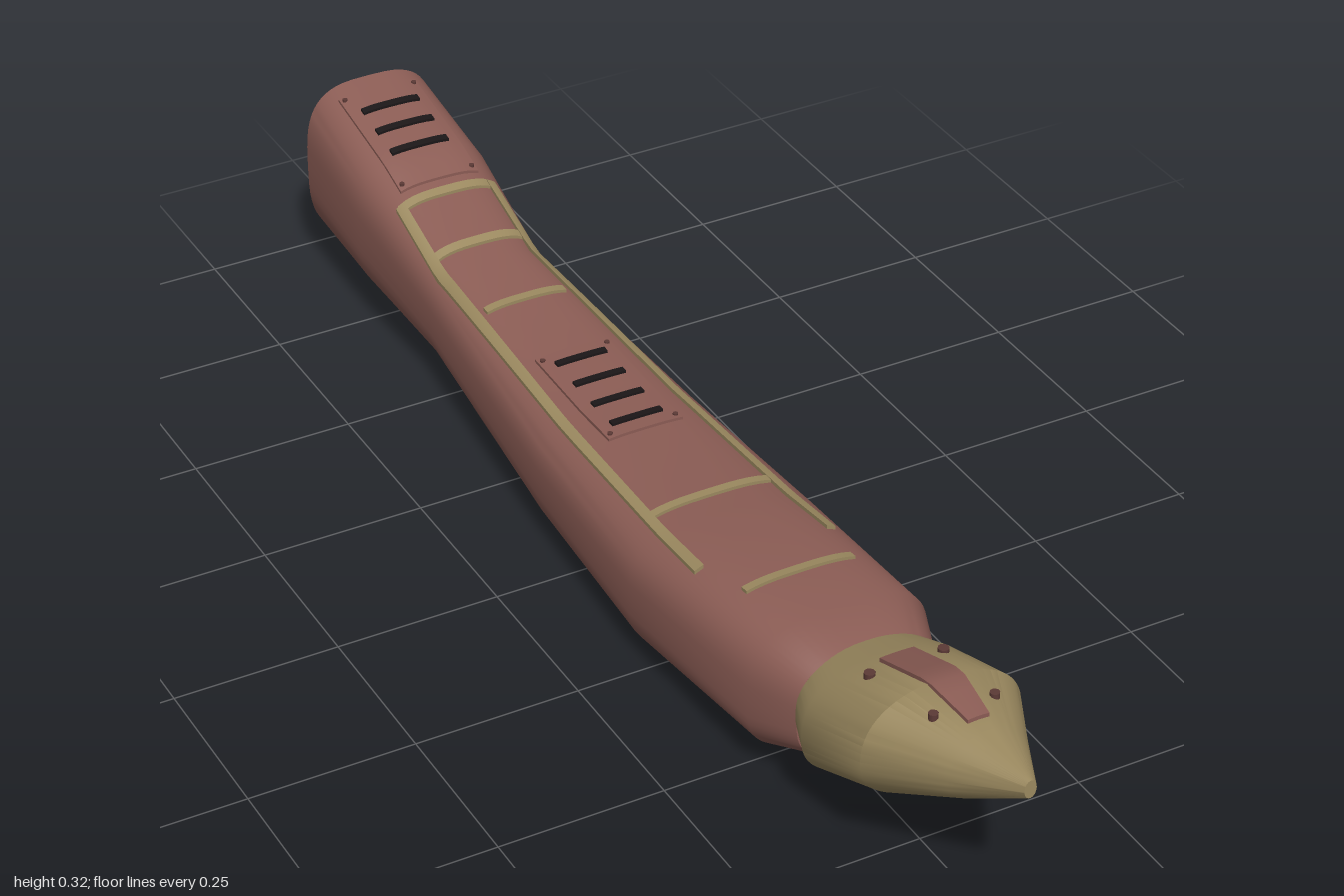
import * as THREE from 'three';
import { toCreasedNormals } from 'three/addons/utils/BufferGeometryUtils.js';

// Cross-sections: [z, half width, bottom y, top y, y of widest point, squareness]
const HULL = [
  [-1.0, 0.03, 0.135, 0.245, 0.19, 3],
  [-0.93, 0.11, 0.06, 0.324, 0.19, 3.2],
  [-0.74, 0.113, 0.055, 0.285, 0.17, 3.2],
  [-0.52, 0.1, 0.045, 0.216, 0.13, 3.1],
  [-0.1, 0.135, 0.012, 0.2, 0.105, 3.1],
  [0.22, 0.153, 0.005, 0.208, 0.105, 3.1],
  [0.53, 0.14, 0.035, 0.245, 0.13, 3.1],
  [0.605, 0.108, 0.062, 0.228, 0.14, 3],
];
const HEAD = [
  [0.575, 0.098, 0.085, 0.222, 0.15, 2.5],
  [0.65, 0.127, 0.066, 0.248, 0.15, 2.4],
  [0.79, 0.122, 0.125, 0.298, 0.205, 2.3],
  [0.9, 0.062, 0.183, 0.285, 0.235, 2.1],
  [1.0, 0.009, 0.249, 0.277, 0.263, 2],
];

// Skin the cross-sections, with closed ends
function loft(sections, sides = 56) {
  const pos = [], index = [];
  for (const [z, w, lo, hi, mid, n] of sections) {
    for (let j = 0; j < sides; j++) {
      const a = (j / sides) * Math.PI * 2, c = Math.cos(a), s = Math.sin(a);
      const x = Math.sign(c) * w * Math.abs(c) ** (2 / n);
      const h = Math.abs(s) ** (2 / n);
      pos.push(x, s > 0 ? mid + (hi - mid) * h : mid - (mid - lo) * h, z);
    }
  }
  for (let i = 0; i < sections.length - 1; i++) {
    for (let j = 0; j < sides; j++) {
      const k = (j + 1) % sides;
      const a = i * sides + j, b = i * sides + k, c = a + sides, d = b + sides;
      index.push(a, b, d, a, d, c);
    }
  }
  const last = sections.length - 1;
  const back = pos.length / 3, front = back + 1;
  pos.push(0, sections[0][4], sections[0][0], 0, sections[last][4], sections[last][0]);
  for (let j = 0; j < sides; j++) {
    const k = (j + 1) % sides;
    index.push(back, k, j, front, last * sides + j, last * sides + k);
  }
  const g = new THREE.BufferGeometry();
  g.setAttribute('position', new THREE.Float32BufferAttribute(pos, 3));
  g.setIndex(index);
  return toCreasedNormals(g, 0.5);
}

// Interpolate rows keyed by their first number
function sample(rows, z) {
  let i = 0;
  while (i < rows.length - 2 && z > rows[i + 1][0]) i++;
  const t = THREE.MathUtils.clamp((z - rows[i][0]) / (rows[i + 1][0] - rows[i][0]), 0, 1);
  return rows[i].map((v, k) => THREE.MathUtils.lerp(v, rows[i + 1][k], t));
}

// Height of the top (side 1) or underside (side -1) of a skin
function surfaceY(sections, x, z, side) {
  const [, w, lo, hi, mid, n] = sample(sections, z);
  const h = Math.max(0, 1 - Math.abs(x / w) ** n) ** (1 / n);
  return side > 0 ? mid + (hi - mid) * h : mid - (mid - lo) * h;
}

// Thin plate hugging a skin; outline rows are [z, left x, right x]
function plate(sections, outline, thick, side = 1) {
  const z0 = outline[0][0], z1 = outline[outline.length - 1][0];
  const g = new THREE.BoxGeometry(1, thick, 1, 12, 1, Math.max(1, Math.ceil((z1 - z0) * 40)));
  const p = g.attributes.position;
  for (let i = 0; i < p.count; i++) {
    const z = THREE.MathUtils.lerp(z0, z1, p.getZ(i) + 0.5);
    const [, l, r] = sample(outline, z);
    const x = THREE.MathUtils.lerp(l, r, p.getX(i) + 0.5);
    p.setXYZ(i, x, surfaceY(sections, x, z, side) + p.getY(i), z);
  }
  g.computeVertexNormals();
  return g;
}

export function createModel() {
  const model = new THREE.Group();
  model.name = 'spacecraft';
  const material = (name, color) => {
    const m = new THREE.MeshStandardMaterial({ color });
    m.name = name;
    return m;
  };
  const hullRed = material('hull red', 0x8c5d55);
  const gold = material('dull gold', 0x9c8a60);
  const black = material('vent black', 0x1b1617);
  const boltBrown = material('bolt brown', 0x5c3a36);

  const add = (name, geometry, mat) => {
    const mesh = new THREE.Mesh(geometry, mat);
    mesh.name = name;
    model.add(mesh);
    return mesh;
  };
  const bar = (name, mat, z, half, depth, thick, side = 1, skin = HULL) =>
    add(name, plate(skin, [[z - depth / 2, -half, half], [z + depth / 2, -half, half]], thick, side), mat);
  const bolt = (skin, x, z, r) => {
    const m = add('bolt', new THREE.CylinderGeometry(r, r, 0.014, 10), boltBrown);
    m.position.set(x, surfaceY(skin, x, z, 1), z);
  };

  // Main bodies
  add('hull', loft(HULL), hullRed);
  add('head', loft(HEAD), gold);

  // Gold rails along the back
  for (const s of [-1, 1]) {
    const rows = [[-0.66, 0.077], [-0.5, 0.078], [-0.04, 0.094], [0.33, 0.104]]
      .map(([z, x]) => [z, s * x - 0.007, s * x + 0.007]);
    add('rail', plate(HULL, rows, 0.012), gold);
  }

  // Gold cross ribs
  for (const [z, half] of [[-0.655, 0.08], [-0.55, 0.076], [-0.395, 0.066], [0.175, 0.095], [0.42, 0.085]])
    bar('rib', gold, z, half, 0.014, 0.01);

  // Vent panels on the back, with slats and corner bolts
  const vents = [
    { z0: -0.9, z1: -0.68, half: 0.066, slat: 0.048, at: [-0.85, -0.8, -0.75] },
    { z0: -0.245, z1: -0.015, half: 0.06, slat: 0.041, at: [-0.215, -0.158, -0.102, -0.045] },
  ];
  for (const { z0, z1, half, slat, at } of vents) {
    add('ventPanel', plate(HULL, [[z0, -half, half], [z1, -half, half]], 0.009), hullRed);
    for (const z of at) bar('ventSlat', black, z, slat, 0.011, 0.017);
    for (const s of [-1, 1]) for (const z of [z0 + 0.01, z1 - 0.01]) bolt(HULL, s * (half - 0.007), z, 0.004);
  }

  // Belly panel and slots
  add('bellyPanel', plate(HULL, [[-0.6, -0.05, 0.05], [-0.1, -0.07, 0.07], [0.4, -0.075, 0.075]], 0.006, -1), hullRed);
  for (const z of [0.09, -0.137, -0.365]) bar('bellySlot', black, z, 0.045, 0.014, 0.009, -1);

  // Head crest, chin strip and bolts
  add('crest', plate(HEAD, [[0.675, -0.026, 0.026], [0.79, -0.026, 0.026], [0.875, -0.016, 0.016]], 0.012), hullRed);
  bar('chinStrip', hullRed, 0.67, 0.058, 0.02, 0.01, -1, HEAD);
  for (const s of [-1, 1]) {
    bolt(HEAD, s * 0.056, 0.7, 0.008);
    bolt(HEAD, s * 0.046, 0.84, 0.007);
  }
  return model;
}
